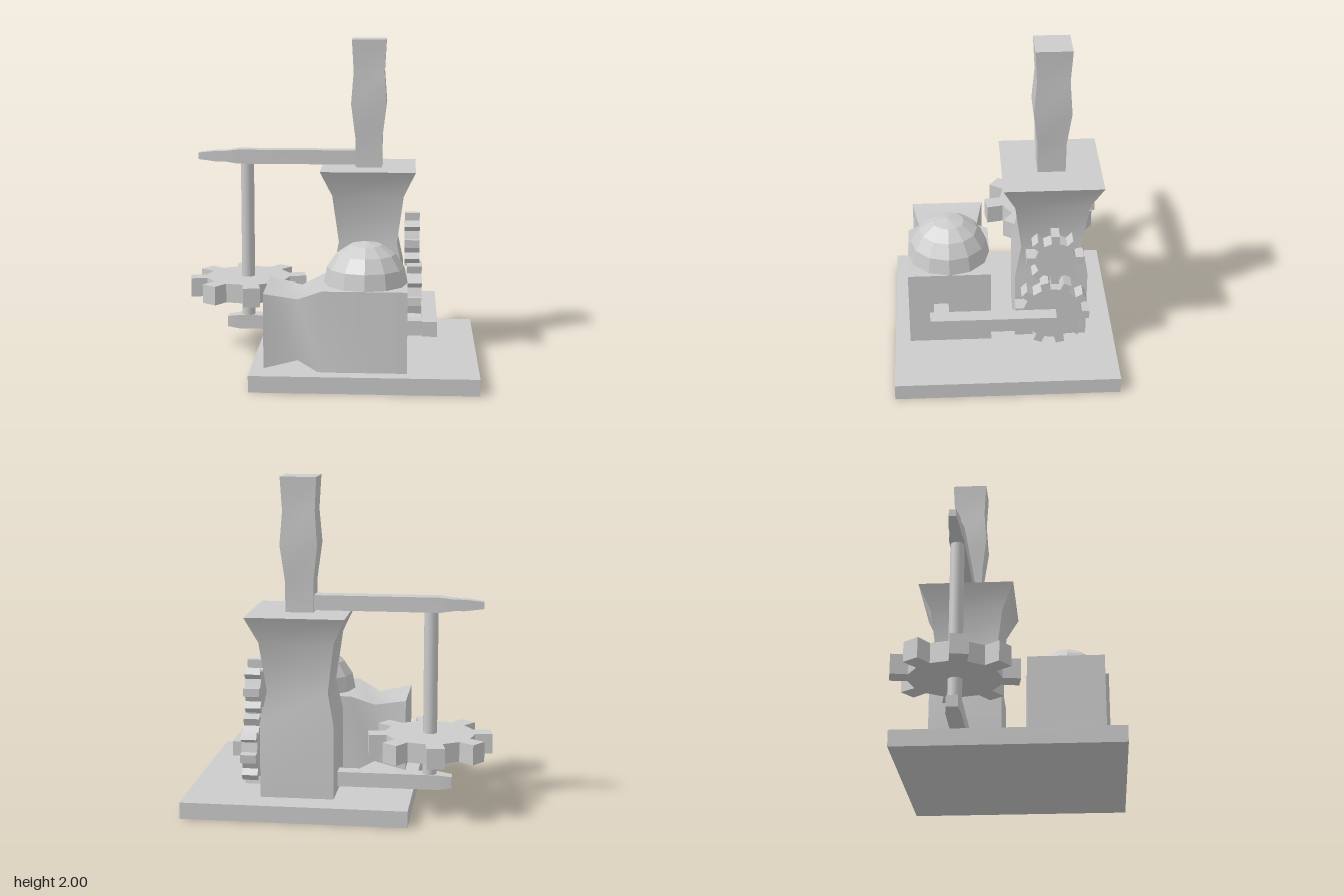
import * as THREE from 'three';

const material = new THREE.MeshStandardMaterial({ color: 0xcccccc });
const flat = new THREE.MeshStandardMaterial({ color: 0xcccccc, flatShading: true });

// Square bar along y whose half width follows [position, halfWidth] stations
function squareLoft(stations) {
  const n = stations.length - 1;
  const geometry = new THREE.BoxGeometry(2, 1, 2, 1, n, 1);
  const p = geometry.attributes.position;
  for (let i = 0; i < p.count; i++) {
    const [y, half] = stations[Math.round((p.getY(i) + 0.5) * n)];
    p.setXYZ(i, p.getX(i) * half, y, p.getZ(i) * half);
  }
  geometry.computeVertexNormals();
  return geometry;
}

// The same bar laid along x
const squareLoftX = (stations) =>
  squareLoft(stations.map(([x, h]) => [-x, h]).reverse()).rotateZ(Math.PI / 2);

// Gear in the xy plane, extruded along z and centred; offset in degrees
function gear(teeth, root, outer, depth, offset, rootShare, tipShare) {
  const shape = new THREE.Shape();
  const step = (Math.PI * 2) / teeth;
  for (let i = 0; i < teeth; i++) {
    const mid = THREE.MathUtils.degToRad(offset) + i * step;
    const corners = [[-rootShare, root], [-tipShare, outer], [tipShare, outer], [rootShare, root]];
    corners.forEach(([share, r], k) => {
      const a = mid + share * step;
      const x = r * Math.cos(a), y = r * Math.sin(a);
      if (i + k === 0) shape.moveTo(x, y);
      else shape.lineTo(x, y);
    });
  }
  shape.closePath();
  return new THREE.ExtrudeGeometry(shape, { depth, bevelEnabled: false }).translate(0, 0, -depth / 2);
}

export function createModel() {
  const group = new THREE.Group();
  const add = (name, geometry, x, y, z, mat = material) => {
    const mesh = new THREE.Mesh(geometry, mat);
    mesh.name = name;
    mesh.position.set(x, y, z);
    group.add(mesh);
    return mesh;
  };
  const cx = 0.23, towerZ = -0.285, shedZ = 0.333;

  add('base', new THREE.BoxGeometry(1.35, 0.1, 1.35), cx, 0.05, 0);

  // Waisted tower with a flared top, and its chimney
  add('tower', squareLoft([[0.09, 0.22], [0.55, 0.22], [0.74, 0.182], [1.04, 0.222], [1.2, 0.295]]), cx, 0, towerZ);
  add('chimney', squareLoft([[1.19, 0.083], [1.39, 0.085], [1.6, 0.111], [1.8, 0.096], [2, 0.107]]), cx, 0, towerZ);

  // Front housing, pinched near its right end, with a dome
  add('housing', squareLoftX([[-0.365, 0.225], [-0.165, 0.185], [-0.02, 0.25], [0.48, 0.25]]), 0, 0.338, shedZ);
  add('dome', new THREE.SphereGeometry(0.25, 12, 4, 0, Math.PI * 2, 0, Math.PI / 2), cx, 0.588, shedZ, flat);

  // Arms holding the upright shaft and its flat gear
  const shaftX = -0.545, armZ = -0.29;
  add('upperArm', squareLoftX([[-0.855, 0.021], [-0.74, 0.034], [-0.68, 0.034], [-0.6, 0.045], [0.16, 0.045]]), 0, 1.255, armZ);
  add('lowerArm', squareLoftX([[-0.68, 0.034], [-0.6, 0.045], [0.05, 0.045]]), 0, 0.175, armZ);
  add('shaft', new THREE.CylinderGeometry(0.042, 0.042, 1, 12), shaftX, 0.715, armZ);
  add('flatGear', gear(8, 0.27, 0.373, 0.12, 99, 0.24, 0.182).rotateX(-Math.PI / 2), shaftX, 0.415, armZ);

  // Meshing gears on the tower's left side
  add('upperSideGear', gear(8, 0.122, 0.172, 0.095, 0, 0.24, 0.18).rotateY(Math.PI / 2), 0.507, 0.727, -0.297);
  add('lowerSideGear', gear(10, 0.18, 0.228, 0.095, -5, 0.24, 0.18).rotateY(Math.PI / 2), 0.523, 0.35, -0.285);

  // Cranked rod joining the housing to the lower gear
  add('rodStub', new THREE.BoxGeometry(0.13, 0.09, 0.09), 0.515, 0.335, 0.387);
  add('rod', new THREE.BoxGeometry(0.09, 0.09, 0.76), 0.611, 0.336, 0.075);

  return group;
}
